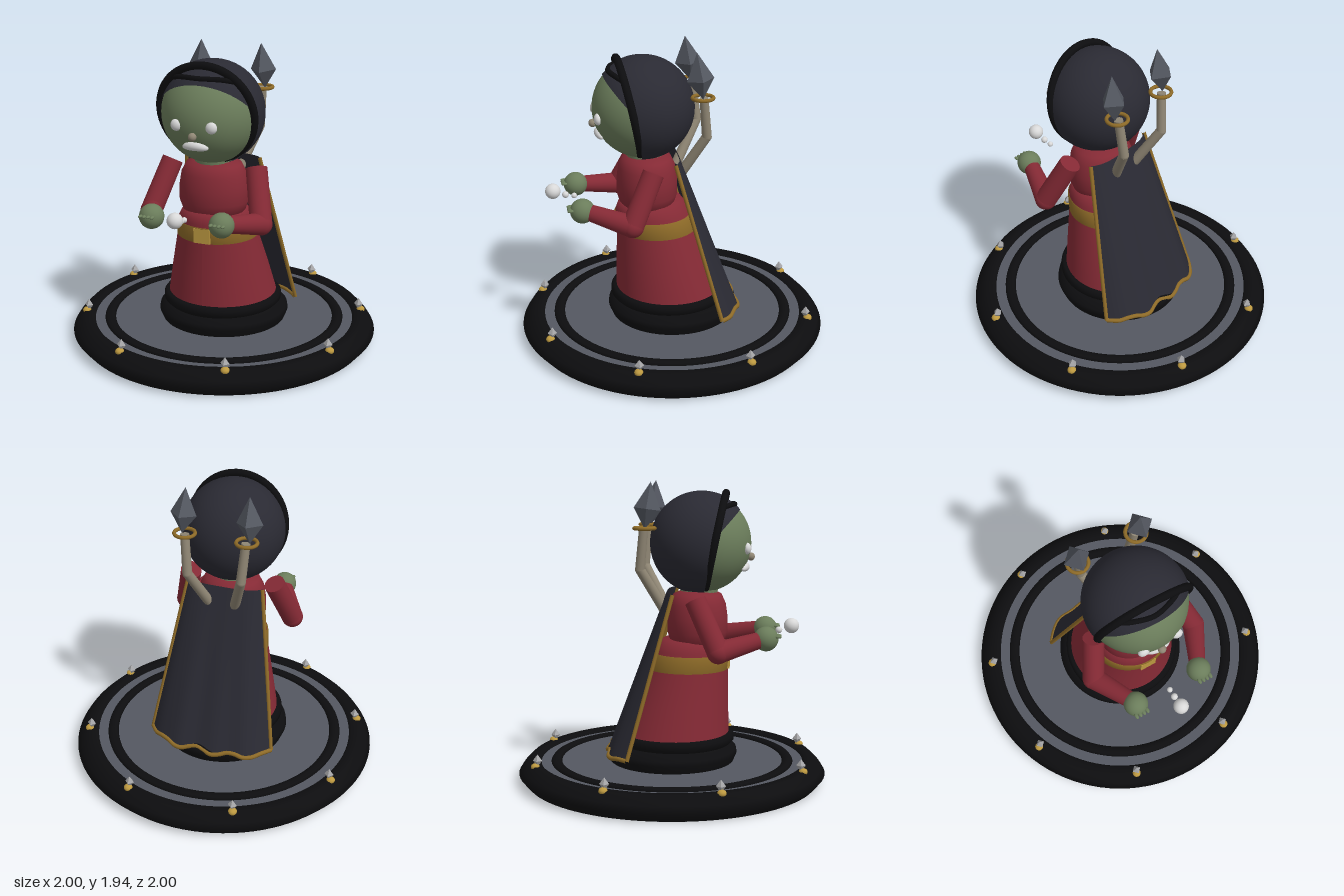
import * as THREE from 'three';

const mat = (name, color, extra = {}) => {
  const m = new THREE.MeshStandardMaterial({ color, ...extra });
  m.name = name;
  return m;
};
const V = (x, y, z) => new THREE.Vector3(x, y, z);

export function createModel() {
  const model = new THREE.Group();
  const black = mat('black', 0x0d0d0f);
  const slate = mat('slate', 0x545861, { flatShading: true });
  const cloth = mat('dark cloth', 0x2a2a33, { side: THREE.DoubleSide });
  const skin = mat('green skin', 0x6b7d5b);
  const red = mat('red robe', 0x852a35);
  const gold = mat('old gold', 0x8e6b28);
  const bright = mat('bright gold', 0xbc9840);
  const white = mat('white', 0xd8d8d8);
  const bone = mat('bone', 0x8f8674);
  const silver = mat('silver', 0xa6a6a8, { flatShading: true });

  const add = (name, geo, material, x = 0, y = 0, z = 0) => {
    const m = new THREE.Mesh(geo, material);
    m.name = name;
    m.position.set(x, y, z);
    model.add(m);
    return m;
  };
  const ball = (name, r, material, x, y, z, sx = 1, sy = 1, sz = 1) =>
    add(name, new THREE.SphereGeometry(r, 24, 16).scale(sx, sy, sz), material, x, y, z);
  const lathe = (pts, seg = 64) =>
    new THREE.LatheGeometry(pts.map(p => new THREE.Vector2(p[0], p[1])), seg);
  const rod = (name, a, b, ra, rb, material) => {
    const m = add(name, new THREE.CylinderGeometry(rb, ra, a.distanceTo(b), 20), material);
    m.position.copy(a).add(b).multiplyScalar(0.5);
    m.quaternion.setFromUnitVectors(V(0, 1, 0), b.clone().sub(a).normalize());
    return m;
  };
  const tube = (name, pts, r, material, seg = 40) =>
    add(name, new THREE.TubeGeometry(new THREE.CatmullRomCurve3(pts), seg, r, 8), material);

  // Round plinth with a heavy rim and an inlaid ring
  add('plinthRim', lathe([[0.9, 0.002], [0.95, 0.002], [1, 0.06], [0.975, 0.1], [0.925, 0.15], [0.87, 0.15], [0.85, 0.125]], 96), black);
  add('plinth', new THREE.CylinderGeometry(0.945, 0.945, 0.03, 96), slate, 0, 0.015, 0);
  add('plinthTop', new THREE.CylinderGeometry(0.87, 0.87, 0.1, 96), slate, 0, 0.08, 0);
  add('plinthRing', new THREE.TorusGeometry(0.755, 0.035, 8, 96).rotateX(Math.PI / 2).scale(1, 0.6, 1), black, 0, 0.13, 0);

  // Eight studs around the rim
  for (let i = 0; i < 8; i++) {
    const a = (i + 0.5) * Math.PI / 4, c = Math.cos(a), s = Math.sin(a);
    ball('studSeat', 0.028, bright, 0.915 * c, 0.148, 0.915 * s, 1, 0.8, 1);
    add('studGem', new THREE.OctahedronGeometry(0.03).scale(1, 1.35, 1), silver, 0.9 * c, 0.187, 0.9 * s);
  }

  // Stacked foot rings
  add('lowerFootRing', lathe([[0.4, 0.12], [0.425, 0.18], [0.42, 0.21], [0.38, 0.25], [0.3, 0.255]]), black);
  add('upperFootRing', lathe([[0.36, 0.245], [0.385, 0.27], [0.385, 0.3], [0.37, 0.32], [0.3, 0.322]]), black, 0, 0, 0.02);

  // Robe leaning forward as it rises
  const lean = g => {
    const p = g.attributes.position;
    for (let i = 0; i < p.count; i++) p.setZ(i, p.getZ(i) + 0.015 + Math.max(0, p.getY(i) - 0.32) * 0.21);
    g.computeVertexNormals();
    return g;
  };
  add('skirt', lean(lathe([[0.356, 0.3], [0.31, 0.52], [0.262, 0.73], [0.24, 0.86], [0.2, 0.93], [0, 0.95]])), red);
  add('torso', lathe([[0, 0.84], [0.1, 0.85], [0.17, 0.9], [0.195, 0.98], [0.195, 1.07], [0.182, 1.16], [0.155, 1.22], [0.1, 1.245], [0, 1.25]], 40).scale(1.15, 1, 1), red, 0, 0, 0.165);
  add('belt', lean(lathe([[0.24, 0.738], [0.262, 0.738], [0.252, 0.842], [0.23, 0.842]])), gold);
  add('buckle', new THREE.BoxGeometry(0.11, 0.096, 0.035), bright, 0, 0.79, 0.358);
  rod('neck', V(0, 1.2, 0.17), V(0, 1.3, 0.18), 0.12, 0.12, skin);

  // Arms, hands and fingers
  for (const s of [1, -1]) {
    const shoulder = V(s * 0.285, 1.21, 0.165), elbow = V(s * 0.372, 0.9, 0.31), wrist = V(s * 0.245, 0.96, 0.565);
    rod('upperArm', shoulder, elbow, 0.068, 0.07, red);
    ball('elbow', 0.071, red, ...elbow);
    rod('forearm', elbow, wrist, 0.07, 0.052, red);
    ball('hand', 0.078, skin, s * 0.23, 0.967, 0.605);
    for (let i = 0; i < 4; i++)
      ball('finger', 0.012, skin, s * 0.23 + (i - 1.5) * 0.026, 0.985, 0.68, 1, 0.8, 1.8);
  }

  // Drifting orbs between the hands
  ball('largeOrb', 0.049, white, 0, 1.018, 0.77);
  ball('smallOrb', 0.022, white, 0, 0.99, 0.69);
  ball('tinyOrb', 0.018, white, 0, 0.98, 0.635);

  // Head and hood, both centred on the same point
  const hy = 1.55, hz = 0.19;
  add('head', new THREE.SphereGeometry(0.317, 48, 32), skin, 0, hy, hz);
  const cap = (name, r, pole, deg) => {
    const m = add(name, new THREE.SphereGeometry(r, 48, 32, 0, Math.PI * 2, 0, deg * Math.PI / 180), cloth, 0, hy, hz);
    m.quaternion.setFromUnitVectors(V(0, 1, 0), pole.normalize());
  };
  cap('hood', 0.33, V(0, 0.2, -0.98), 105);
  cap('hoodBrow', 0.323, V(0, 0.67, -0.74), 97);
  const rim = add('hoodRim', new THREE.TorusGeometry(0.312, 0.025, 10, 64), black, 0, 1.56, 0.282);
  rim.quaternion.setFromUnitVectors(V(0, 0, 1), V(0, -0.2, 0.98).normalize());
  tube('browBand', [V(-0.2, 1.78, 0.33), V(-0.13, 1.792, 0.368), V(0, 1.795, 0.4), V(0.13, 1.792, 0.368), V(0.2, 1.78, 0.33)], 0.017, black);

  // Face
  for (const s of [1, -1]) ball('eye', 0.037, white, s * 0.114, 1.522, 0.482, 1, 1, 0.7);
  ball('nose', 0.026, bone, 0, 1.462, 0.505);
  const lips = new THREE.SphereGeometry(1, 24, 16).scale(0.085, 0.03, 0.03);
  const lp = lips.attributes.position;
  for (let i = 0; i < lp.count; i++) {
    const x = lp.getX(i);
    lp.setY(i, lp.getY(i) - x * x * 1.6);
    lp.setZ(i, lp.getZ(i) - x * x * 1.6);
  }
  lips.computeVertexNormals();
  add('mouth', lips, white, 0, 1.398, 0.468);

  // Cape: a bowed sheet widening to a rippled hem
  const capeAt = (u, t) => {
    const bow = 1 - u ** 4, ripple = 0.012 * t * bow * Math.sin(u * 11);
    return V(u * (0.25 + 0.165 * t), 1.24 - 1.03 * t + ripple,
      0.02 - 0.05 * bow - t * (0.275 + 0.1 * bow) + ripple);
  };
  const cape = new THREE.PlaneGeometry(2, 1, 32, 16);
  const cp = cape.attributes.position;
  for (let i = 0; i < cp.count; i++) {
    const p = capeAt(cp.getX(i), 0.5 - cp.getY(i));
    cp.setXYZ(i, p.x, p.y, p.z);
  }
  cape.computeVertexNormals();
  add('cape', cape, cloth);
  const steps = [...Array(17).keys()];
  for (const s of [1, -1]) tube('capeSideTrim', steps.map(i => capeAt(s, i / 16)), 0.013, gold);
  tube('capeHemTrim', steps.map(i => capeAt(i / 8 - 1, 1)), 0.015, gold, 64);

  // Pair of bent staves with collars and spikes behind the head
  for (const s of [1, -1]) {
    const a = V(s * 0.085, 1.12, -0.04), b = V(s * 0.175, 1.39, -0.19), c = V(s * 0.197, 1.65, -0.165);
    rod('staveLower', a, b, 0.033, 0.031, bone);
    ball('staveBend', 0.031, bone, ...b);
    rod('staveUpper', b, c, 0.031, 0.028, bone);
    add('staveCollar', new THREE.TorusGeometry(0.065, 0.012, 8, 28).rotateX(Math.PI / 2), gold, s * 0.2, 1.652, -0.158);
    const spike = new THREE.Group();
    spike.name = 'spike';
    const top = new THREE.Mesh(new THREE.ConeGeometry(0.085, 0.17, 4), slate);
    const bottom = new THREE.Mesh(new THREE.ConeGeometry(0.085, 0.125, 4).rotateX(Math.PI), slate);
    top.name = 'spikeTip';
    bottom.name = 'spikeBase';
    top.position.y = 0.085;
    bottom.position.y = -0.0625;
    spike.add(top, bottom);
    spike.position.set(s * 0.212, 1.772, -0.14);
    spike.rotation.set(0.13, 0, s * 0.05);
    model.add(spike);
  }
  return model;
}
